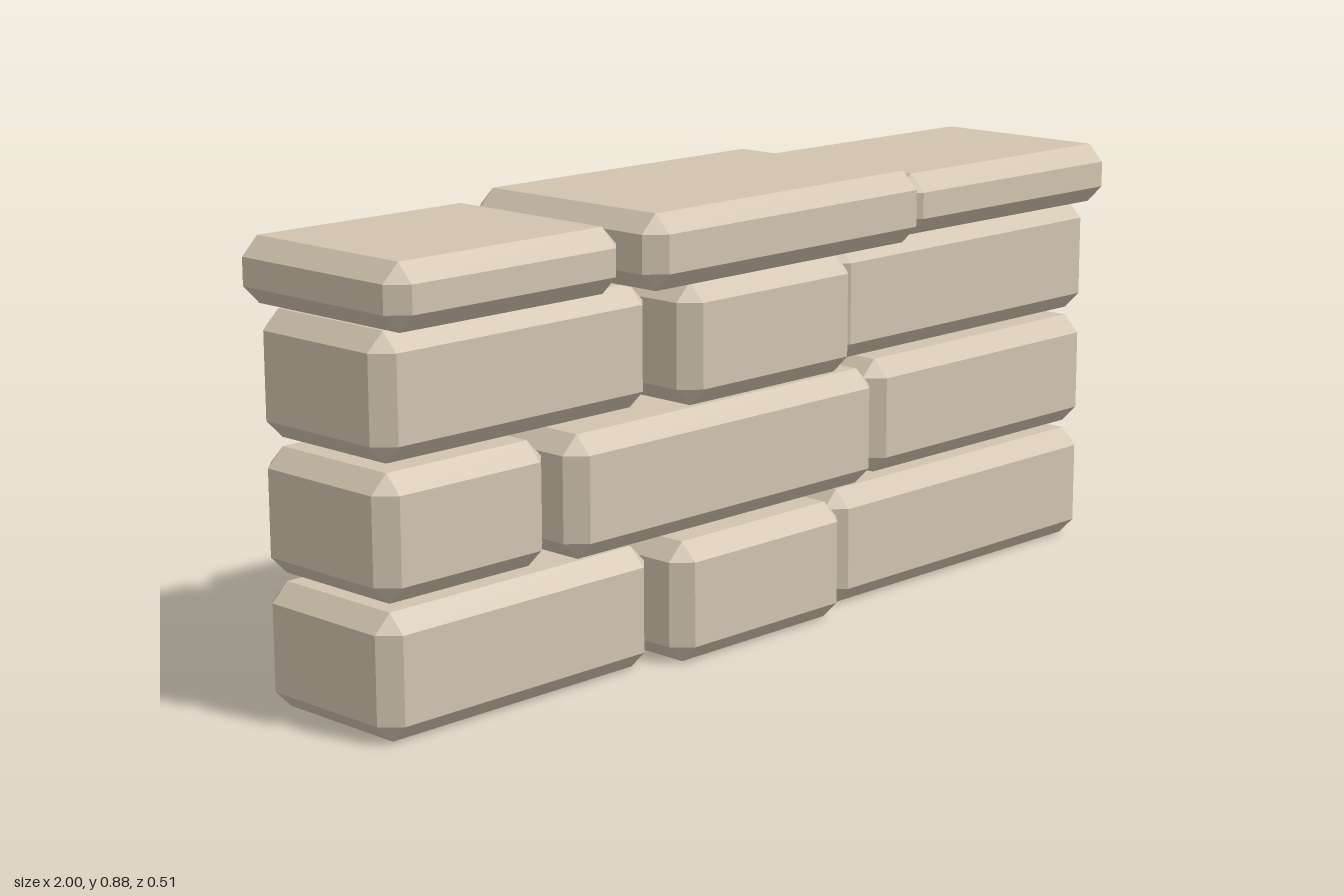
import * as THREE from 'three';
import { ConvexGeometry } from 'three/addons/geometries/ConvexGeometry.js';

const CHAMFER = 0.035;

// Box with every edge and corner cut at 45 degrees, centred on the origin
function chamferedBox(w, h, d) {
  const points = [];
  const half = [w / 2, h / 2, d / 2];
  for (const sx of [-1, 1]) for (const sy of [-1, 1]) for (const sz of [-1, 1]) {
    const sign = [sx, sy, sz];
    // Each corner becomes three points, one on each adjoining face
    for (let face = 0; face < 3; face++) {
      const p = half.map((v, i) => sign[i] * (i === face ? v : v - CHAMFER));
      points.push(new THREE.Vector3(...p));
    }
  }
  return new ConvexGeometry(points);
}

export function createModel() {
  const stone = new THREE.MeshStandardMaterial({ color: 0xd1c4af });
  stone.name = 'sandstone';
  const wall = new THREE.Group();
  wall.name = 'brickWall';

  function addStone(parent, name, [x0, x1], [y0, y1], [z0, z1], turn = 0) {
    const mesh = new THREE.Mesh(chamferedBox(x1 - x0, y1 - y0, z1 - z0), stone);
    mesh.name = name;
    mesh.position.set((x0 + x1) / 2, (y0 + y1) / 2, (z0 + z1) / 2);
    mesh.rotation.y = turn;
    parent.add(mesh);
  }

  // Courses of bricks: flush at the back, the middle brick stands proud in front
  const wideEnds = [[-0.998, -0.337], [-0.317, 0.157], [0.175, 0.99]];
  const longMiddle = [[-0.998, -0.598], [-0.575, 0.267], [0.288, 0.99]];
  const courses = [
    { name: 'bottomCourse', y: [0, 0.237], spans: wideEnds, front: 0.2 },
    { name: 'middleCourse', y: [0.253, 0.488], spans: longMiddle, front: 0.185 },
    { name: 'upperCourse', y: [0.505, 0.739], spans: wideEnds, front: 0.222 },
  ];
  for (const { name, y, spans, front } of courses) {
    const course = new THREE.Group();
    course.name = name;
    spans.forEach((x, i) => {
      addStone(course, 'brick' + (i + 1), x, y, [-0.201, i === 1 ? front : 0.153]);
    });
    wall.add(course);
  }

  // Overhanging cap stones, two of them laid slightly askew
  const caps = new THREE.Group();
  caps.name = 'capStones';
  addStone(caps, 'rightCap', [-1, -0.45], [0.742, 0.865], [-0.252, 0.2]);
  addStone(caps, 'middleCap', [-0.437, 0.331], [0.742, 0.885], [-0.253, 0.248], 0.009);
  addStone(caps, 'leftCap', [0.344, 0.997], [0.742, 0.865], [-0.254, 0.2], -0.009);
  wall.add(caps);

  return wall;
}
